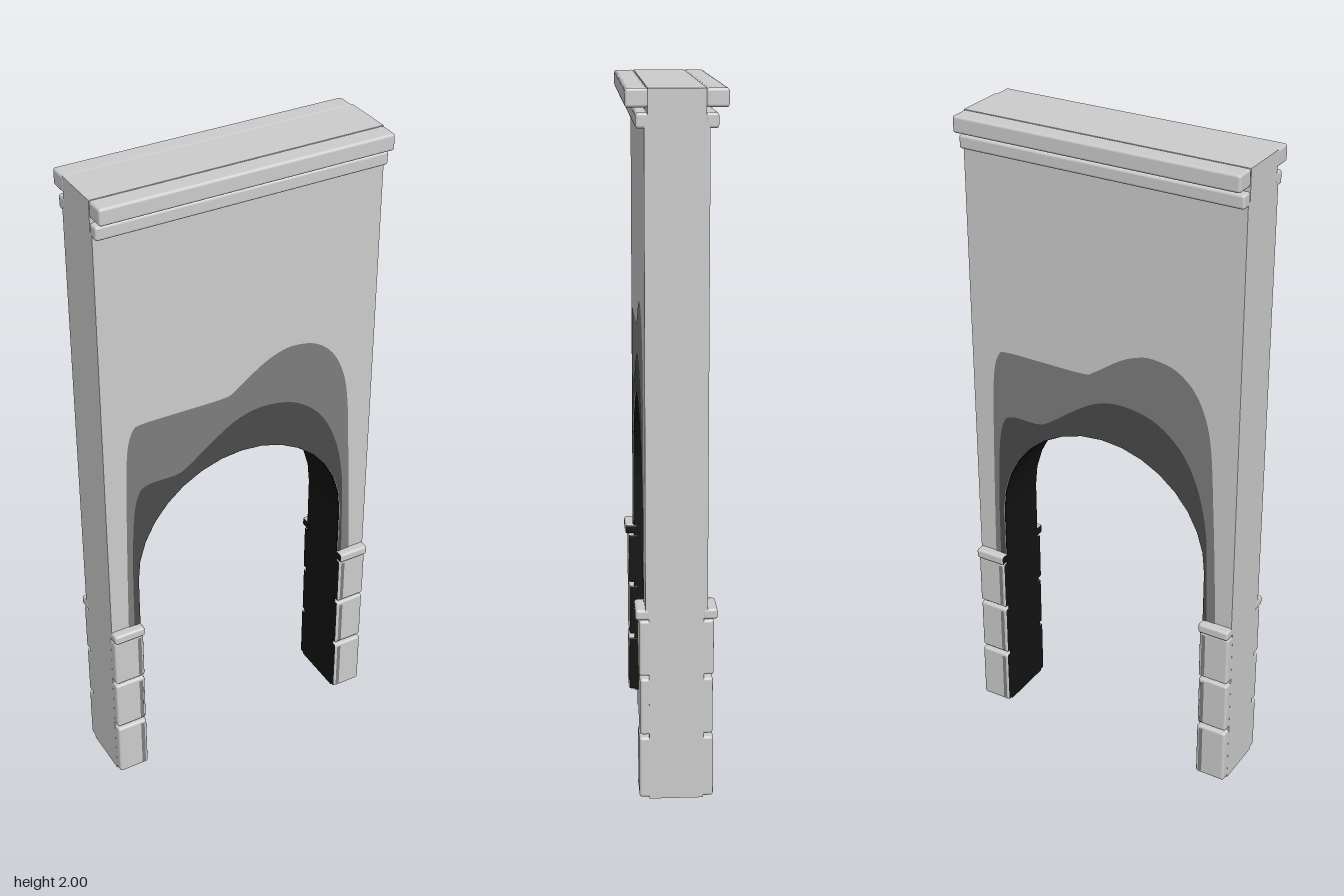
import * as THREE from 'three';
import { RoundedBoxGeometry } from 'three/addons/geometries/RoundedBoxGeometry.js';

const HALF = 0.443, R = 0.35, SPRING = 0.735, CORE = 0.077, FACE = 0.087, CAP_Y = 0.57;

function material(name, color, side = THREE.FrontSide) {
  const m = new THREE.MeshStandardMaterial({ color, side });
  m.name = name;
  return m;
}

// Points along the arch opening from the right foot, over the crown, to the left foot
function archPoints(r, foot) {
  const pts = [new THREE.Vector2(r, foot)];
  for (let i = 0; i <= 16; i++) {
    const a = (Math.PI * i) / 16;
    pts.push(new THREE.Vector2(r * Math.cos(a), SPRING + r * Math.sin(a)));
  }
  pts.push(new THREE.Vector2(-r, foot));
  return pts;
}

function wallShape(foot, top) {
  return new THREE.Shape([
    new THREE.Vector2(-HALF, foot), new THREE.Vector2(-HALF, top),
    new THREE.Vector2(HALF, top), new THREE.Vector2(HALF, foot),
    ...archPoints(R, foot),
  ]);
}

function slab(shape, z0, z1) {
  return new THREE.ExtrudeGeometry(shape, { depth: z1 - z0, bevelEnabled: false }).translate(0, 0, z0);
}

// Flat stain between the arch opening and a smooth wavy outline
function stainGeometry(outline, z) {
  const curve = new THREE.SplineCurve(outline.map(([x, y]) => new THREE.Vector2(x, y)));
  const shape = new THREE.Shape([...curve.getPoints(90), ...archPoints(R, CAP_Y)]);
  return new THREE.ShapeGeometry(shape).translate(0, 0, z);
}

export function createModel() {
  const root = new THREE.Group();
  root.name = 'archWall';
  const stone = material('lightStone', 0xcccccc);
  const soot = material('greySoot', 0x7d7d7d);
  const darkSoot = material('darkSoot', 0x4a4a4a);
  const black = material('blackLining', 0x131313);

  const add = (parent, name, geometry, mat) => {
    const mesh = new THREE.Mesh(geometry, mat);
    mesh.name = name;
    parent.add(mesh);
    return mesh;
  };
  const block = (parent, name, x, y0, y1, z0, z1, w, mat, radius = 0.008) => {
    const mesh = add(parent, name, new RoundedBoxGeometry(w, y1 - y0, z1 - z0, 2, radius), mat);
    mesh.position.set(x, (y0 + y1) / 2, (z0 + z1) / 2);
    return mesh;
  };

  // Core wall with arch opening, and the black lining of the opening
  add(root, 'wallCore', slab(wallShape(0, 2), -CORE, CORE), stone);
  const lining = new THREE.Shape([...archPoints(R - 0.003, 0.002), ...archPoints(R, 0.002).reverse()]);
  add(root, 'archLining', slab(lining, -FACE, FACE), black);

  const greyOutline = [
    [-0.387, 0.57], [-0.383, 0.8], [-0.376, 1.08], [-0.368, 1.21], [-0.35, 1.27], [-0.32, 1.284],
    [-0.2, 1.284], [-0.06, 1.284], [-0.02, 1.3], [0.06, 1.355], [0.12, 1.382], [0.17, 1.389],
    [0.24, 1.374], [0.3, 1.325], [0.34, 1.245], [0.36, 1.14], [0.372, 0.95], [0.38, 0.8], [0.39, 0.57],
  ];
  const darkOutline = [
    [-0.368, 0.57], [-0.366, 0.78], [-0.358, 0.95], [-0.342, 1.04], [-0.31, 1.072], [-0.22, 1.074],
    [-0.18, 1.09], [-0.1, 1.148], [-0.02, 1.197], [0.06, 1.215], [0.15, 1.203], [0.22, 1.165],
    [0.28, 1.1], [0.325, 1.0], [0.35, 0.88], [0.357, 0.75], [0.362, 0.57],
  ];

  // Both faces are alike: the back is the front turned half way round
  ['front', 'back'].forEach((name, i) => {
    const side = new THREE.Group();
    side.name = name + 'Face';
    side.rotation.y = i * Math.PI;
    root.add(side);

    add(side, 'facing', slab(wallShape(CAP_Y - 0.02, 1.91), CORE - 0.002, FACE), stone);
    add(side, 'greyStain', stainGeometry(greyOutline, FACE + 0.0015), soot);
    add(side, 'darkStain', stainGeometry(darkOutline, FACE + 0.003), darkSoot);

    // Cornice mouldings
    block(side, 'upperCornice', 0, 1.95, 2.0, 0.075, 0.137, HALF * 2, stone);
    block(side, 'lowerCornice', 0, 1.896, 1.937, 0.074, 0.11, HALF * 2, stone);

    // Stone blocks and cap on each pier, sooty on the side towards the opening
    for (const s of [-1, 1]) {
      const mats = [stone, stone, stone, stone, stone, stone];
      mats[s > 0 ? 1 : 0] = black;
      const x = s * 0.3945;
      [[0.004, 0.187], [0.196, 0.365], [0.374, 0.538]].forEach(([y0, y1], k) => {
        block(side, 'pierBlock', x, y0, y1, 0.07, 0.105 - 0.002 * (k % 2), 0.097, mats);
        const strip = add(side, 'blockSoot', new THREE.PlaneGeometry(0.012, y1 - y0 - 0.018), soot);
        strip.position.set(s * 0.361, (y0 + y1) / 2, 0.1058);
      });
      block(side, 'pierCap', x, 0.54, 0.571, 0.072, 0.115, 0.099, mats);
    }
  });
  return root;
}
